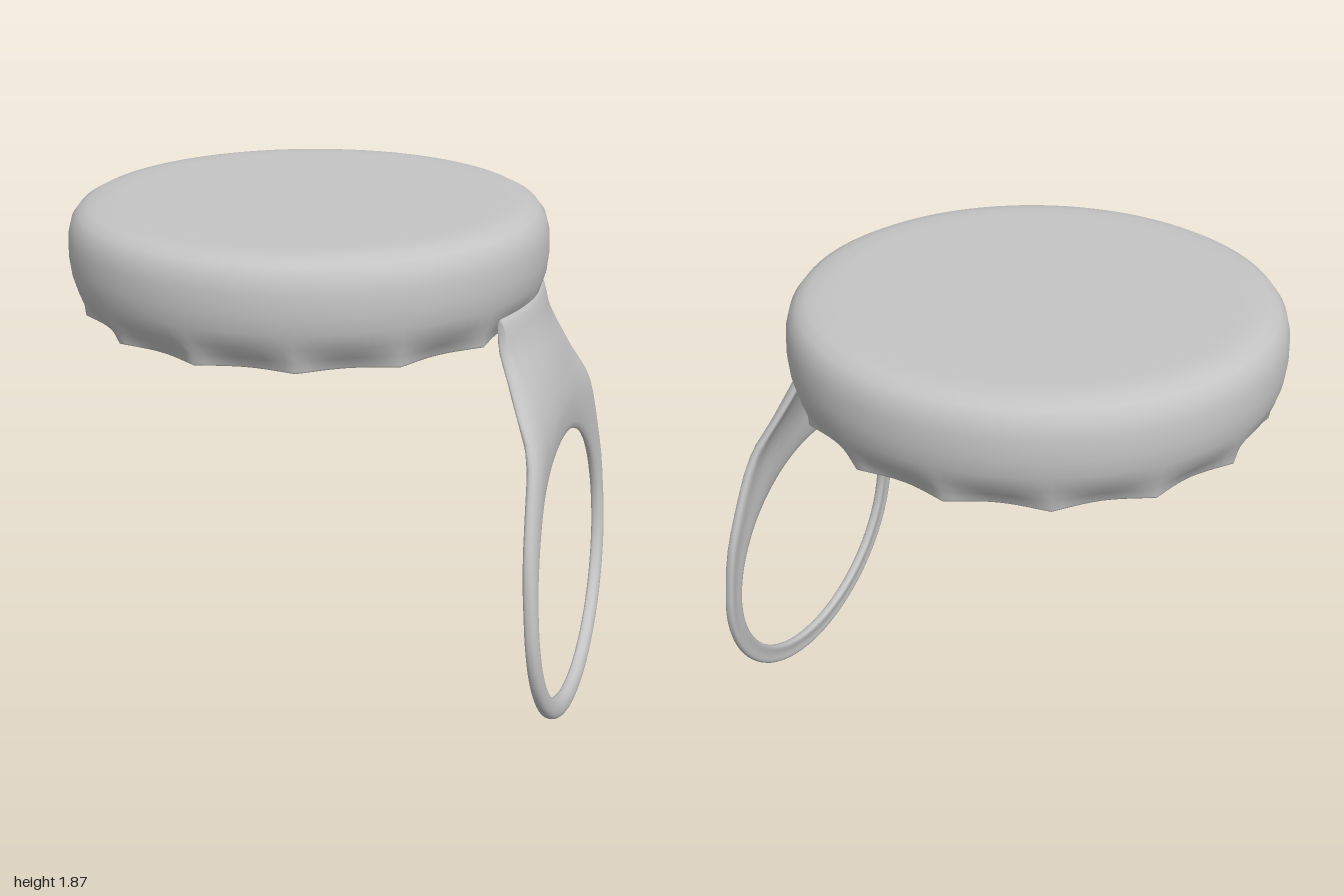
import * as THREE from 'three';
import { mergeVertices } from 'three/addons/utils/BufferGeometryUtils.js';

const V2 = (p) => new THREE.Vector2(p[0], p[1]);
const plastic = new THREE.MeshStandardMaterial({ color: 0xc4c4c4 });
plastic.name = 'light grey plastic';
plastic.side = THREE.DoubleSide;

// Hollow cap: a turned shell whose lower lip is pinched into scallops
function capGeometry() {
  const profile = [
    [0, 1.835], [0.70, 1.835], [0.76, 1.825], [0.80, 1.79], [0.825, 1.71], [0.82, 1.64],
    [0.805, 1.57], [0.80, 1.53], [0.80, 1.495], [0.802, 1.49], [0.815, 1.49], [0.817, 1.495],
    [0.82, 1.53], [0.836, 1.575], [0.851, 1.63], [0.857, 1.69], [0.854, 1.76], [0.84, 1.81],
    [0.815, 1.842], [0.78, 1.86], [0.73, 1.868], [0.67, 1.87], [0, 1.87],
  ].map(V2);
  let geo = new THREE.LatheGeometry(profile, 150);
  const pos = geo.attributes.position;
  for (let i = 0; i < pos.count; i++) {
    const x = pos.getX(i), y = pos.getY(i), z = pos.getZ(i);
    const fade = THREE.MathUtils.smoothstep(1.59 - y, 0, 0.1);
    if (fade === 0) continue;
    const dent = 0.042 * fade * Math.abs(Math.sin(7.5 * Math.atan2(x, z)));
    const k = 1 - dent / Math.hypot(x, z);
    pos.setXYZ(i, x * k, y, z * k);
  }
  geo.deleteAttribute('uv');
  geo.deleteAttribute('normal');
  geo = mergeVertices(geo, 1e-4);
  geo.computeVertexNormals();
  return geo;
}

// Pull tab: cross-sections swept around the finger hole, from hole edge to outline
function tabGeometry() {
  const side = new THREE.SplineCurve([
    [0.588, 0.57], [0.572, 0.8], [0.505, 1.0], [0.415, 1.2], [0.325, 1.38], [0.285, 1.5], [0.28, 1.58],
  ].map(V2));
  // distance from the cap axis, by height
  const lean = [[0, 1.045], [0.5, 1.005], [1.06, 0.955], [1.2, 0.94], [1.35, 0.895], [1.47, 0.845], [1.6, 0.825]];
  const radial = (x, y) => {
    let n = 0;
    while (n < lean.length - 2 && y > lean[n + 1][0]) n++;
    const t = (y - lean[n][0]) / (lean[n + 1][0] - lean[n][0]);
    const wrap = THREE.MathUtils.smoothstep(y, 1.1, 1.5);
    return THREE.MathUtils.lerp(lean[n][1], lean[n + 1][1], t) - wrap * x * x / 1.66;
  };
  const outline = (a) => {
    if (Math.sin(a) < 0) return [0.588 * Math.cos(a), 0.57 + 0.57 * Math.sin(a)];
    const sign = a > Math.PI / 2 ? -1 : 1;
    const q = sign > 0 ? a : Math.PI - a;
    const corner = Math.PI / 3;
    if (q > corner) return [sign * 0.28 * (1 - (q - corner) / (Math.PI / 6)), 1.58];
    const p = side.getPoint(q / corner);
    return [sign * p.x, p.y];
  };
  const around = 96, half = 14, ring = half * 2;
  const points = [], index = [];
  for (let i = 0; i < around; i++) {
    const a = (i / around) * Math.PI * 2;
    const [ox, oy] = outline(a);
    const ix = 0.515 * Math.cos(a), iy = 0.57 + 0.49 * Math.sin(a);
    for (let j = 0; j < ring; j++) {
      const phi = (j / ring) * Math.PI * 2;
      const s = (1 - Math.cos(phi)) / 2;
      const x = ix + (ox - ix) * s, y = iy + (oy - iy) * s;
      // rounded front, shallow groove along the back
      const bulge = Math.pow(Math.abs(Math.sin(phi)), 0.8);
      const depth = j <= half ? 0.03 * bulge : -0.022 * bulge * (1 - 0.5 * bulge ** 4);
      points.push(x, y, radial(x, y) + depth);
      const n = ((i + 1) % around) * ring, m = i * ring, k = (j + 1) % ring;
      index.push(m + j, m + k, n + j, m + k, n + k, n + j);
    }
  }
  const geo = new THREE.BufferGeometry();
  geo.setAttribute('position', new THREE.Float32BufferAttribute(points, 3));
  geo.setIndex(index);
  geo.computeVertexNormals();
  return geo;
}

export function createModel() {
  const model = new THREE.Group();
  model.name = 'pullRingCap';

  const cap = new THREE.Mesh(capGeometry(), plastic);
  cap.name = 'cap';
  const tab = new THREE.Mesh(tabGeometry(), plastic);
  tab.name = 'pullRing';

  // the ring hangs off the front left of the cap
  model.add(cap, tab);
  for (const part of [cap, tab]) {
    part.position.set(-0.145, 0, -0.13);
    part.rotation.y = 0.874;
  }
  return model;
}
